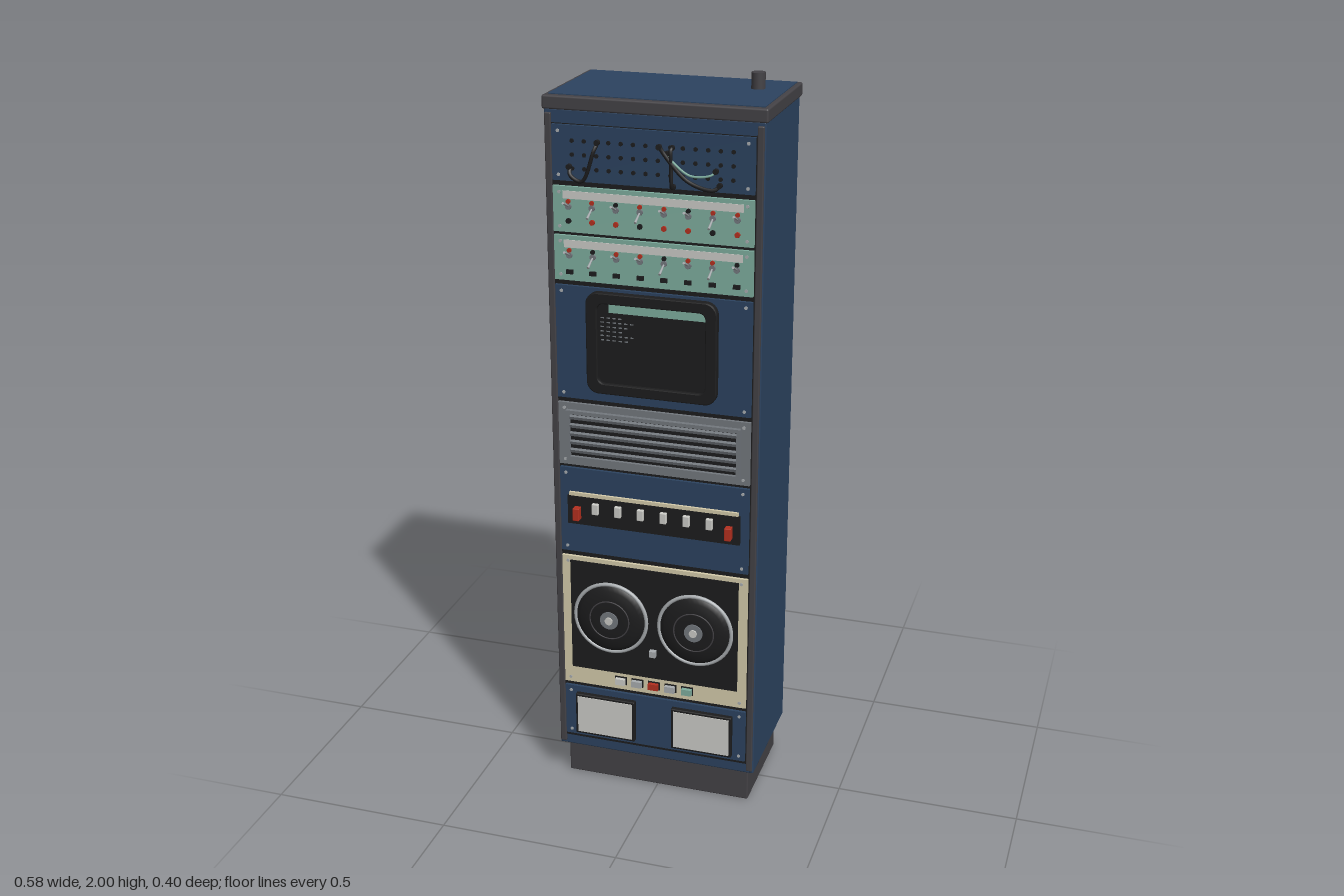
import * as THREE from 'three';
import { RoundedBoxGeometry } from 'three/addons/geometries/RoundedBoxGeometry.js';

const mat = (name, color) => {
  const m = new THREE.MeshStandardMaterial({ color });
  m.name = name;
  return m;
};

export function createModel() {
  const root = new THREE.Group();
  root.name = 'equipmentCabinet';
  const navy = mat('navy', 0x2c4360), charcoal = mat('charcoal', 0x444246);
  const black = mat('black', 0x1d1d1e), teal = mat('teal', 0x7fae9f);
  const grey = mat('grey', 0x74797f), silver = mat('silver', 0xa9adb0);
  const cream = mat('cream', 0xd6cdac), white = mat('offWhite', 0xcdcdc8);
  const red = mat('red', 0xb5301f);

  const group = (name) => {
    const g = new THREE.Group();
    g.name = name;
    root.add(g);
    return g;
  };
  const add = (parent, name, geo, m, x = 0, y = 0, z = 0) => {
    const mesh = new THREE.Mesh(geo, m);
    mesh.name = name;
    mesh.position.set(x, y, z);
    parent.add(mesh);
    return mesh;
  };
  // Box given by its x, y and z limits
  const box = (parent, name, m, x0, x1, y0, y1, z0, z1, r = 0) => add(parent, name,
    r ? new RoundedBoxGeometry(x1 - x0, y1 - y0, z1 - z0, 2, r) : new THREE.BoxGeometry(x1 - x0, y1 - y0, z1 - z0),
    m, (x0 + x1) / 2, (y0 + y1) / 2, (z0 + z1) / 2);
  // Cylinder with its axis along z
  const disc = (parent, name, m, x, y, z0, z1, r, n = 16) => add(parent, name,
    new THREE.CylinderGeometry(r, r, z1 - z0, n).rotateX(Math.PI / 2), m, x, y, (z0 + z1) / 2);
  // Rectangular frame with a rectangular opening
  const frame = (parent, name, m, w, h, iw, ih, y, z0, z1) => {
    const s = new THREE.Shape([[-w, -h], [w, -h], [w, h], [-w, h]].map(p => new THREE.Vector2(...p)));
    s.holes.push(new THREE.Path([[-iw, -ih], [-iw, ih], [iw, ih], [iw, -ih]].map(p => new THREE.Vector2(...p))));
    return add(parent, name, new THREE.ExtrudeGeometry(s, { depth: z1 - z0, bevelEnabled: false }), m, 0, y, z0);
  };

  // Cabinet shell, plinth, cap and mast
  const shell = group('cabinet');
  box(shell, 'body', navy, -0.285, 0.285, 0.1, 1.925, -0.19, 0.15, 0.004);
  box(shell, 'plinth', charcoal, -0.265, 0.265, 0, 0.1, -0.17, 0.13, 0.004);
  box(shell, 'cap', charcoal, -0.29, 0.29, 1.922, 1.957, -0.2, 0.152, 0.005);
  box(shell, 'capPanel', navy, -0.278, 0.278, 1.95, 1.959, -0.187, 0.135);
  add(shell, 'mast', new THREE.CylinderGeometry(0.018, 0.018, 0.045, 20), charcoal, 0.205, 1.9775, -0.075);
  for (const s of [-1, 1]) {
    box(shell, 'frontRail', charcoal, s * 0.2735 - 0.0085, s * 0.2735 + 0.0085, 0.11, 1.915, 0.14, 0.157, 0.003);
  }
  box(shell, 'rackBacking', black, -0.266, 0.266, 0.13, 1.89, 0.145, 0.1515);

  // Rack panel with four corner screws
  const F = 0.16;
  const panel = (name, m, y0, y1) => {
    const g = group(name);
    box(g, 'panel', m, -0.262, 0.262, y0, y1, 0.148, F);
    for (const x of [-0.245, 0.245]) for (const y of [y0 + 0.015, y1 - 0.015]) {
      disc(g, 'screw', silver, x, y, F - 0.002, F + 0.002, 0.0045, 10);
    }
    return g;
  };

  // Patch bay with jack rows and hanging cables
  const patch = panel('patchBay', navy, 1.747, 1.888);
  for (let r = 0; r < 3; r++) for (let i = 0; i < 14; i++) {
    disc(patch, 'jack', black, -0.208 + i * 0.032, 1.78 + r * 0.035, F - 0.002, F + 0.003, 0.0055, 10);
  }
  const cable = (m, x0, y0, x1, y1, sag, r) => {
    const mid = new THREE.Vector3((x0 + x1) / 2, (y0 + y1) / 2 - sag, 0.177);
    const curve = new THREE.CatmullRomCurve3([
      new THREE.Vector3(x0, y0, F), new THREE.Vector3(x0 + (x1 - x0) * 0.08, y0 - sag * 0.3, 0.174), mid,
      new THREE.Vector3(x1 - (x1 - x0) * 0.08, y1 - sag * 0.3, 0.174), new THREE.Vector3(x1, y1, F)]);
    add(patch, 'patchCable', new THREE.TubeGeometry(curve, 24, r, 6), m);
    for (const [x, y] of [[x0, y0], [x1, y1]]) disc(patch, 'plug', black, x, y, F, 0.172, 0.007, 10);
  };
  cable(black, -0.215, 1.785, -0.14, 1.85, 0.065, 0.005);
  cable(black, 0.02, 1.85, 0.175, 1.765, 0.035, 0.005);
  cable(black, 0.053, 1.85, 0.056, 1.753, 0.002, 0.005);
  cable(teal, 0.04, 1.835, 0.165, 1.8, 0.03, 0.003);

  // Two switch panels: toggles above, indicator lamps below
  [[1.615, 1.733], [1.488, 1.606]].forEach(([y0, y1], k) => {
    const g = panel('togglePanel', teal, y0, y1);
    box(g, 'labelStrip', white, -0.235, 0.235, y1 - 0.031, y1 - 0.011, F, F + 0.002);
    for (let i = 0; i < 8; i++) {
      const x = -0.2205 + i * 0.063, y = y0 + 0.067;
      disc(g, 'toggleCollar', grey, x, y, F, F + 0.006, 0.008, 10);
      const up = (i * 3 + k) % 5 < 3 ? 1 : -1;
      const lever = add(g, 'toggleLever', new THREE.CylinderGeometry(0.0035, 0.0022, 0.042, 8), silver, x, y + up * 0.009, 0.18);
      lever.rotation.x = Math.PI / 2 - up * 0.42;
      disc(g, 'lamp', (i + k) % 3 === 2 ? black : red, x, y + 0.013, F, F + 0.005, 0.006, 10);
      if (k) box(g, 'rocker', black, x - 0.009, x + 0.009, y0 + 0.018, y0 + 0.029, F, F + 0.006);
      else disc(g, 'lowerLamp', i % 3 ? red : black, x, y0 + 0.03, F, F + 0.006, 0.007, 10);
    }
  });

  // Display with rounded bezel and lit rows
  const display = panel('displayPanel', navy, 1.166, 1.474);
  const rounded = (w, h, r) => {
    const s = new THREE.Shape();
    s.absarc(w - r, h - r, r, 0, Math.PI / 2);
    s.absarc(-w + r, h - r, r, Math.PI / 2, Math.PI);
    s.absarc(-w + r, -h + r, r, Math.PI, Math.PI * 1.5);
    s.absarc(w - r, -h + r, r, Math.PI * 1.5, Math.PI * 2);
    return s;
  };
  const bezel = rounded(0.172, 0.134, 0.03);
  bezel.holes.push(rounded(0.147, 0.111, 0.02));
  add(display, 'bezel', new THREE.ExtrudeGeometry(bezel, { depth: 0.015, bevelSize: 0.003, bevelThickness: 0.003, bevelSegments: 2, curveSegments: 8 }),
    black, 0, 1.33, F);
  box(display, 'screen', black, -0.15, 0.15, 1.217, 1.443, F, 0.168);
  box(display, 'screenHeader', teal, -0.115, 0.143, 1.414, 1.436, 0.167, 0.169);
  for (let i = 0; i < 6; i++) for (let j = 0; j < 4 + (i * 2) % 3; j++) {
    box(display, 'screenMark', grey, -0.137 + j * 0.016, -0.128 + j * 0.016, 1.398 - i * 0.012, 1.401 - i * 0.012, 0.167, 0.169);
  }

  // Ventilation grille
  const vent = panel('ventPanel', grey, 0.976, 1.152);
  box(vent, 'ventRecess', black, -0.236, 0.236, 0.996, 1.132, F, F + 0.002);
  frame(vent, 'ventFrame', grey, 0.238, 0.07, 0.228, 0.06, 1.064, F, 0.172);
  for (let i = 0; i < 5; i++) {
    box(vent, 'slat', grey, -0.229, 0.229, 1.015 + i * 0.0235, 1.024 + i * 0.0235, F, 0.169).rotation.x = 0.35;
  }

  // Key row
  const keys = panel('keyPanel', navy, 0.72, 0.966);
  box(keys, 'keyBed', black, -0.24, 0.24, 0.805, 0.888, F, 0.166);
  box(keys, 'keyStrip', cream, -0.235, 0.235, 0.888, 0.898, F, 0.167);
  for (let i = 0; i < 6; i++) {
    const x = -0.16 + i * 0.0635;
    box(keys, 'key', white, x - 0.009, x + 0.009, 0.842, 0.873, 0.164, 0.176, 0.002);
  }
  for (const x of [-0.211, 0.211]) box(keys, 'redKey', red, x - 0.009, x + 0.009, 0.822, 0.858, 0.164, 0.186, 0.002);

  // Tape deck with two reels and buttons
  const deck = panel('tapeDeck', cream, 0.311, 0.704);
  box(deck, 'deckPlate', black, -0.238, 0.238, 0.362, 0.692, F, 0.163);
  const reelProfile = [[0, 0.022], [0.035, 0.022], [0.06, 0.021], [0.085, 0.016], [0.1, 0.008], [0.1, 0]]
    .map(p => new THREE.Vector2(...p)).reverse();
  for (const x of [-0.12, 0.12]) {
    add(deck, 'reel', new THREE.LatheGeometry(reelProfile, 40).rotateX(Math.PI / 2), black, x, 0.535, 0.163);
    add(deck, 'reelRim', new THREE.TorusGeometry(0.102, 0.0055, 8, 48), silver, x, 0.535, 0.17);
    add(deck, 'reelGroove', new THREE.TorusGeometry(0.056, 0.002, 6, 36), charcoal, x, 0.535, 0.184);
    disc(deck, 'hub', grey, x, 0.535, 0.18, 0.188, 0.026, 24);
    disc(deck, 'spindle', white, x, 0.535, 0.185, 0.192, 0.011, 16);
  }
  box(deck, 'tapeHead', silver, -0.009, 0.009, 0.435, 0.453, 0.16, 0.178);
  [white, silver, red, silver, teal].forEach((m, i) => {
    const x = -0.096 + i * 0.048;
    box(deck, 'buttonSurround', black, x - 0.017, x + 0.017, 0.327, 0.351, F, 0.163);
    box(deck, 'button', m, x - 0.014, x + 0.014, 0.33, 0.348, F, 0.174);
  });

  // Two blank-faced meters
  const meters = panel('meterPanel', navy, 0.142, 0.298);
  for (const x of [-0.14, 0.14]) {
    box(meters, 'meterBezel', black, x - 0.087, x + 0.087, 0.156, 0.282, F, 0.176, 0.003);
    box(meters, 'meterFace', white, x - 0.08, x + 0.08, 0.163, 0.275, 0.172, 0.178);
  }
  return root;
}
